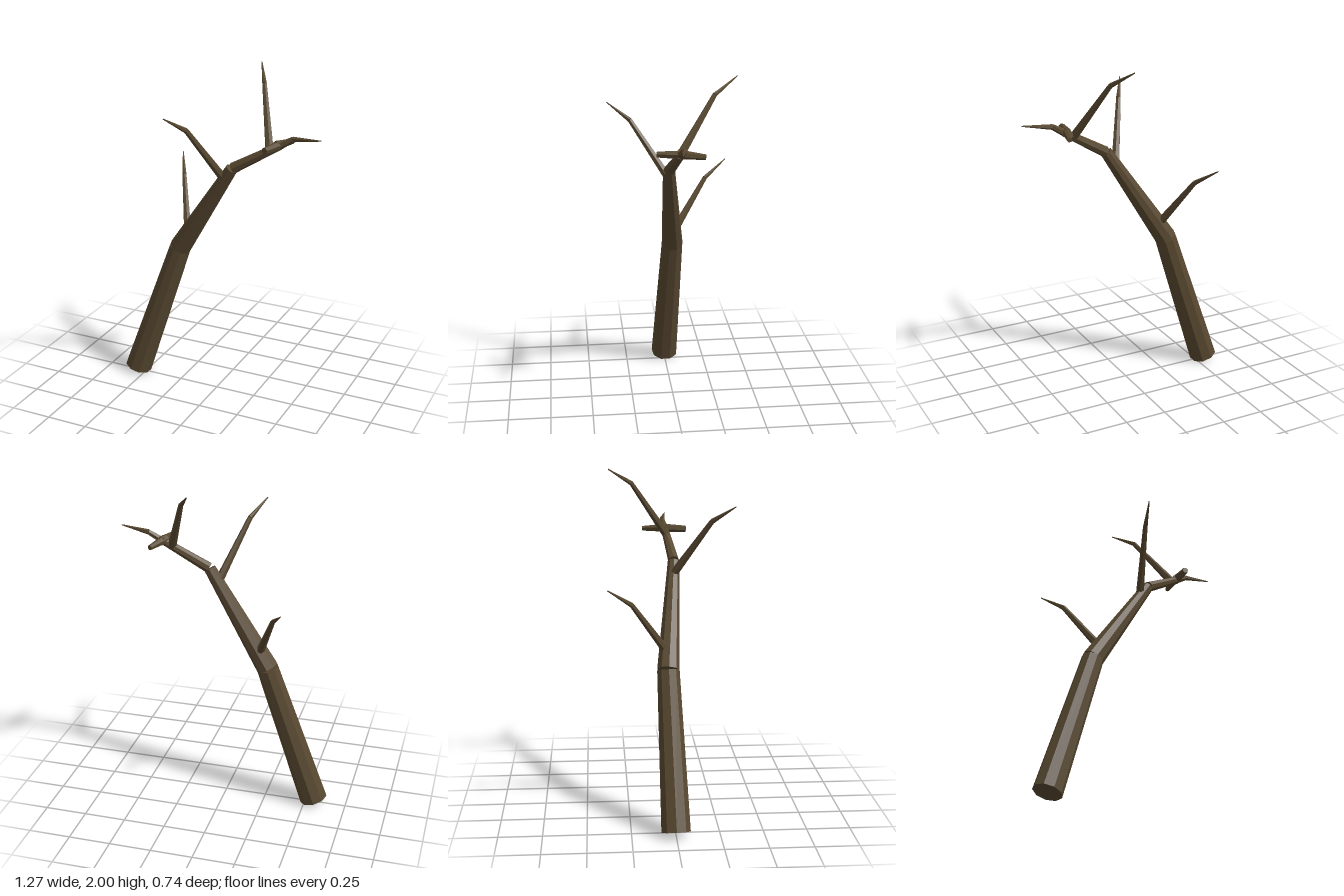
import * as THREE from 'three';

const bark = new THREE.MeshStandardMaterial({ color: 0x584830, flatShading: true });
bark.name = 'bark';
const UP = new THREE.Vector3(0, 1, 0);

// Tapered, capped log running from a to b, with one edge facing -x
function log(name, a, b, rA, rB, sides) {
  const start = new THREE.Vector3(...a);
  const end = new THREE.Vector3(...b);
  const dir = end.clone().sub(start);
  const geometry = new THREE.CylinderGeometry(rB, rA, dir.length(), sides, 1, false, -Math.PI / 2);
  const mesh = new THREE.Mesh(geometry, bark);
  mesh.name = name;
  mesh.position.copy(start).add(end).multiplyScalar(0.5);
  mesh.quaternion.setFromUnitVectors(UP, dir.normalize());
  return mesh;
}

// Limb of several logs: each point is [x, y, z, radius]
function limb(name, points, sides) {
  const group = new THREE.Group();
  group.name = name;
  for (let i = 0; i < points.length - 1; i++) {
    const [p, q] = [points[i], points[i + 1]];
    group.add(log(name + 'Segment' + (i + 1), p.slice(0, 3), q.slice(0, 3), p[3], q[3], sides));
  }
  return group;
}

export function createModel() {
  const tree = new THREE.Group();
  tree.name = 'deadTree';

  // Leaning trunk, bending towards +x
  tree.add(
    log('lowerTrunk', [-0.554, 0.03, -0.002], [-0.257, 0.892, -0.025], 0.084, 0.065, 9),
    log('middleTrunk', [-0.257, 0.892, -0.025], [0.109, 1.46, 0.031], 0.065, 0.035, 9),
    log('upperTrunk', [0.115, 1.463, 0.031], [0.385, 1.62, -0.005], 0.032, 0.022, 8),
  );

  // Bent side branches and the end of the trunk
  tree.add(
    limb('lowerBranch', [[-0.215, 1.01, -0.045, 0.024], [-0.327, 1.285, -0.232, 0.014], [-0.401, 1.381, -0.366, 0.003]], 6),
    limb('middleBranch', [[0.05, 1.4, 0.03, 0.025], [-0.075, 1.715, 0.238, 0.015], [-0.149, 1.806, 0.367, 0.003]], 6),
    limb('upperBranch', [[0.325, 1.59, 0, 0.025], [0.2, 1.91, -0.212, 0.014], [0.125, 1.998, -0.348, 0.003]], 6),
    limb('endBranch', [[0.375, 1.614, -0.004, 0.022], [0.46, 1.665, -0.016, 0.016], [0.632, 1.684, 0.01, 0.003]], 6),
  );

  // Short broken stubs on both sides near the tip
  tree.add(
    log('frontStub', [0.383, 1.622, -0.03], [0.344, 1.62, 0.12], 0.027, 0.019, 6),
    log('backStub', [0.368, 1.624, 0.01], [0.413, 1.616, -0.138], 0.027, 0.015, 6),
  );
  return tree;
}
